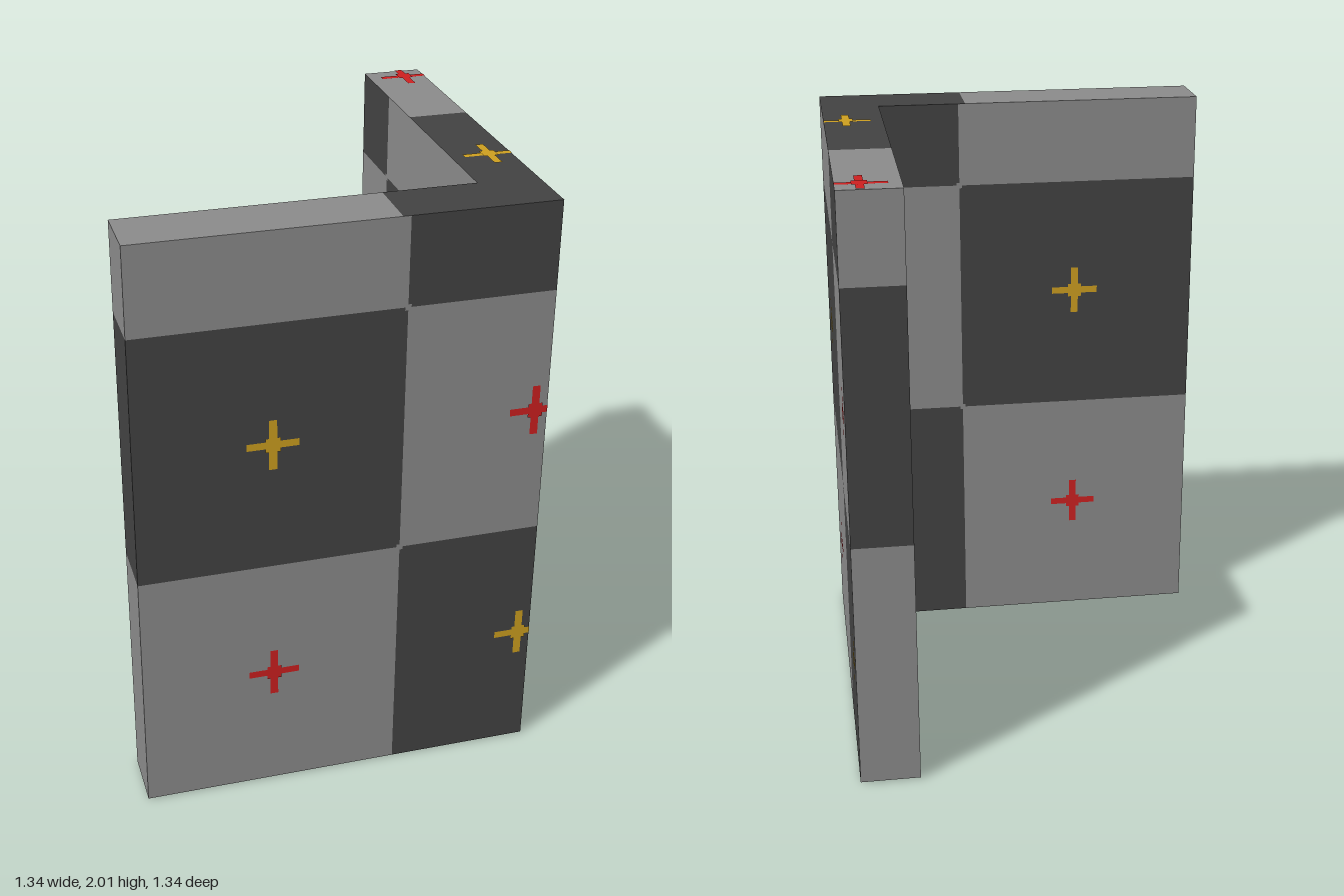
import * as THREE from 'three';

export function createModel() {
  const material = (name, color) => {
    const m = new THREE.MeshStandardMaterial({ color });
    m.name = name;
    return m;
  };
  const light = material('lightGrey', 0x8a8a8a);
  const dark = material('darkGrey', 0x424242);
  const yellow = material('yellow', 0xcc9e20);
  const red = material('red', 0xcc2020);

  const E = 0.667;    // outer half extent
  const I = 0.468;    // inner side of both wings
  const H = 2;
  const T = 0.857;    // tile size
  const rows = [0, 0.857, 1.707, H];
  const model = new THREE.Group();
  model.name = 'cornerWall';

  // Flat rectangle in the local xy plane
  function rect(parent, name, mat, x0, x1, y0, y1, z = 0) {
    const mesh = new THREE.Mesh(new THREE.PlaneGeometry(x1 - x0, y1 - y0), mat);
    mesh.position.set((x0 + x1) / 2, (y0 + y1) / 2, z);
    mesh.name = name;
    parent.add(mesh);
  }

  // Plus mark, cut off at the limits of its face
  function cross(parent, mat, x, y, maxX = Infinity, maxY = Infinity) {
    const bar = (w, h, z) => rect(parent, 'crossMark', mat,
      x - w, Math.min(x + w, maxX), y - h, Math.min(y + h, maxY), z);
    bar(0.084, 0.012, 0.002);
    bar(0.013, 0.086, 0.003);
    bar(0.024, 0.024, 0.004);
  }

  // Upright face: columns are { from, to, odd, mark }, checkered with the rows
  function wall(name, x, z, turn, columns) {
    const g = new THREE.Group();
    g.name = name;
    g.position.set(x, 0, z);
    g.rotation.y = turn;
    const width = columns[columns.length - 1].to;
    for (const c of columns) {
      for (let r = 0; r < 3; r++) {
        const isDark = (r + c.odd) % 2 === 1;
        rect(g, 'tile', isDark ? dark : light, c.from, c.to, rows[r], rows[r + 1]);
        if (c.mark && r < 2) cross(g, isDark ? yellow : red, c.mark, r ? 1.298 : 0.442, width);
      }
    }
    // small light notches where the tiles meet
    if (columns.length > 1) {
      const seam = columns[0].to;
      for (const y of [rows[1], rows[2]]) rect(g, 'tileNotch', light, seam - 0.01, seam + 0.01, y - 0.01, y + 0.01, 0.001);
    }
    model.add(g);
  }

  const outer = [
    { from: 0, to: T, odd: 0, mark: 0.437 },
    { from: T, to: 2 * E, odd: 1, mark: 1.292 },
  ];
  const innerWidth = E + I;
  const inner = [
    { from: 0, to: innerWidth - T, odd: 1 },
    { from: innerWidth - T, to: innerWidth, odd: 0, mark: innerWidth - 0.437 },
  ];
  const end = [{ from: 0, to: E - I, odd: 0 }];

  wall('outerFrontFace', -E, E, 0, outer);
  wall('outerSideFace', E, E, Math.PI / 2, outer);
  wall('innerFrontFace', I, I, Math.PI, inner);
  wall('innerSideFace', I, -E, -Math.PI / 2, inner);
  wall('sideWingEnd', E, -E, Math.PI, end);
  wall('frontWingEnd', -E, I, -Math.PI / 2, end);

  // Top and bottom: L-shaped caps, dark around the corner; s maps z to local y
  function cap(name, y, s) {
    const g = new THREE.Group();
    g.name = name;
    g.position.y = y;
    g.rotation.x = s * Math.PI / 2;
    const part = (mat, x0, x1, z0, z1) =>
      rect(g, 'capTile', mat, x0, x1, Math.min(s * z0, s * z1), Math.max(s * z0, s * z1));
    part(light, -E, 0.165, I, E);
    part(dark, 0.165, I, I, E);
    part(dark, I, E, -0.167, E);
    part(light, I, E, -E, -0.167);
    cross(g, yellow, 0.593, s * 0.24, E);
    // the end mark is trimmed by the wing's end
    rect(g, 'crossMark', red, 0.509, E, s * -0.597 - 0.012, s * -0.597 + 0.012, 0.002);
    const ends = [s * -E, s * -0.511];
    rect(g, 'crossMark', red, 0.58, 0.606, Math.min(...ends), Math.max(...ends), 0.003);
    rect(g, 'crossMark', red, 0.569, 0.617, s * -0.597 - 0.024, s * -0.597 + 0.024, 0.004);
    model.add(g);
  }
  cap('topCap', H, -1);
  cap('bottomCap', 0, 1);

  return model;
}
